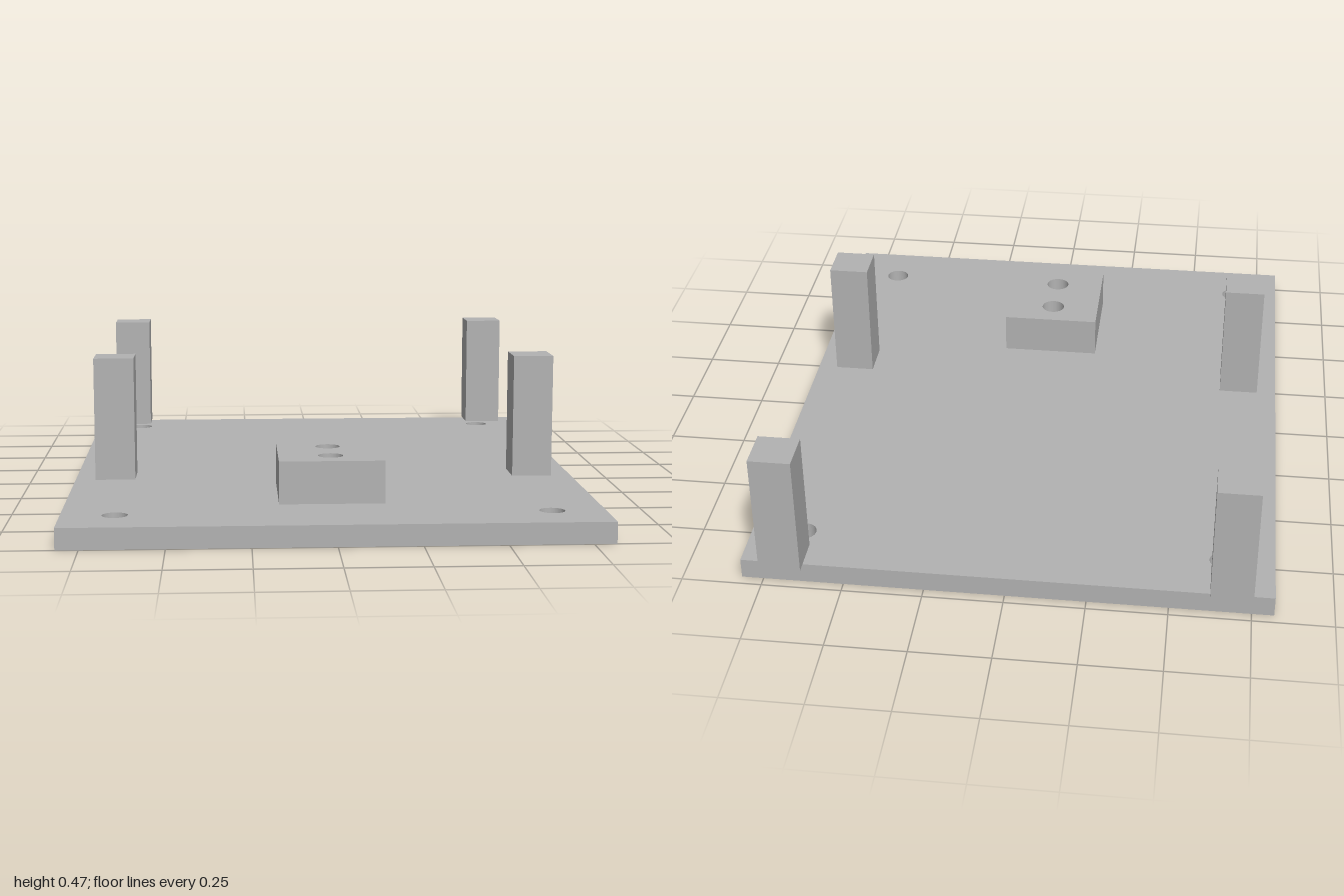
import * as THREE from 'three';

const PLATE_TOP = 0.066;
const HOLE_RADIUS = 0.039;

// Flat slab lying in the xz plane; holes are [x, z, radius]
function drilledSlab(x0, x1, z0, z1, y, height, holes) {
  const shape = new THREE.Shape();
  shape.moveTo(x0, -z1);
  shape.lineTo(x1, -z1);
  shape.lineTo(x1, -z0);
  shape.lineTo(x0, -z0);
  shape.closePath();
  for (const [x, z, r] of holes) {
    const hole = new THREE.Path();
    hole.absarc(x, -z, r, 0, Math.PI * 2, true);
    shape.holes.push(hole);
  }
  const geometry = new THREE.ExtrudeGeometry(shape, { depth: height, bevelEnabled: false, curveSegments: 24 });
  geometry.rotateX(-Math.PI / 2);
  geometry.translate(0, y, 0);
  return geometry;
}

export function createModel() {
  const model = new THREE.Group();
  model.name = 'mountingPlate';
  const grey = new THREE.MeshStandardMaterial({ color: 0xb2b2b2 });
  grey.name = 'grey';

  const add = (name, geometry) => {
    const mesh = new THREE.Mesh(geometry, grey);
    mesh.name = name;
    model.add(mesh);
    return mesh;
  };

  // Base plate: four corner holes and two wider recesses under the block
  const blockHoles = [0.44, 0.605];
  const plateHoles = blockHoles.map((z) => [0, z, 0.07]);
  for (const x of [-0.655, 0.655]) {
    for (const z of [-0.805, 0.833]) plateHoles.push([x, z, HOLE_RADIUS]);
  }
  add('basePlate', drilledSlab(-0.818, 0.818, -0.968, 1, 0, PLATE_TOP, plateHoles));

  // Raised block with two narrow through holes
  add('raisedBlock', drilledSlab(-0.163, 0.163, 0.345, 0.703, PLATE_TOP, 0.133,
    blockHoles.map((z) => [0, z, HOLE_RADIUS])));

  // Four square posts, the back pair overhanging the plate edge
  const postGeometry = new THREE.BoxGeometry(0.13, 0.4, 0.13);
  for (const [side, x] of [['left', 0.688], ['right', -0.688]]) {
    for (const [end, z] of [['Back', -0.935], ['Front', 0.214]]) {
      add(side + end + 'Post', postGeometry).position.set(x, PLATE_TOP + 0.2, z);
    }
  }
  return model;
}
